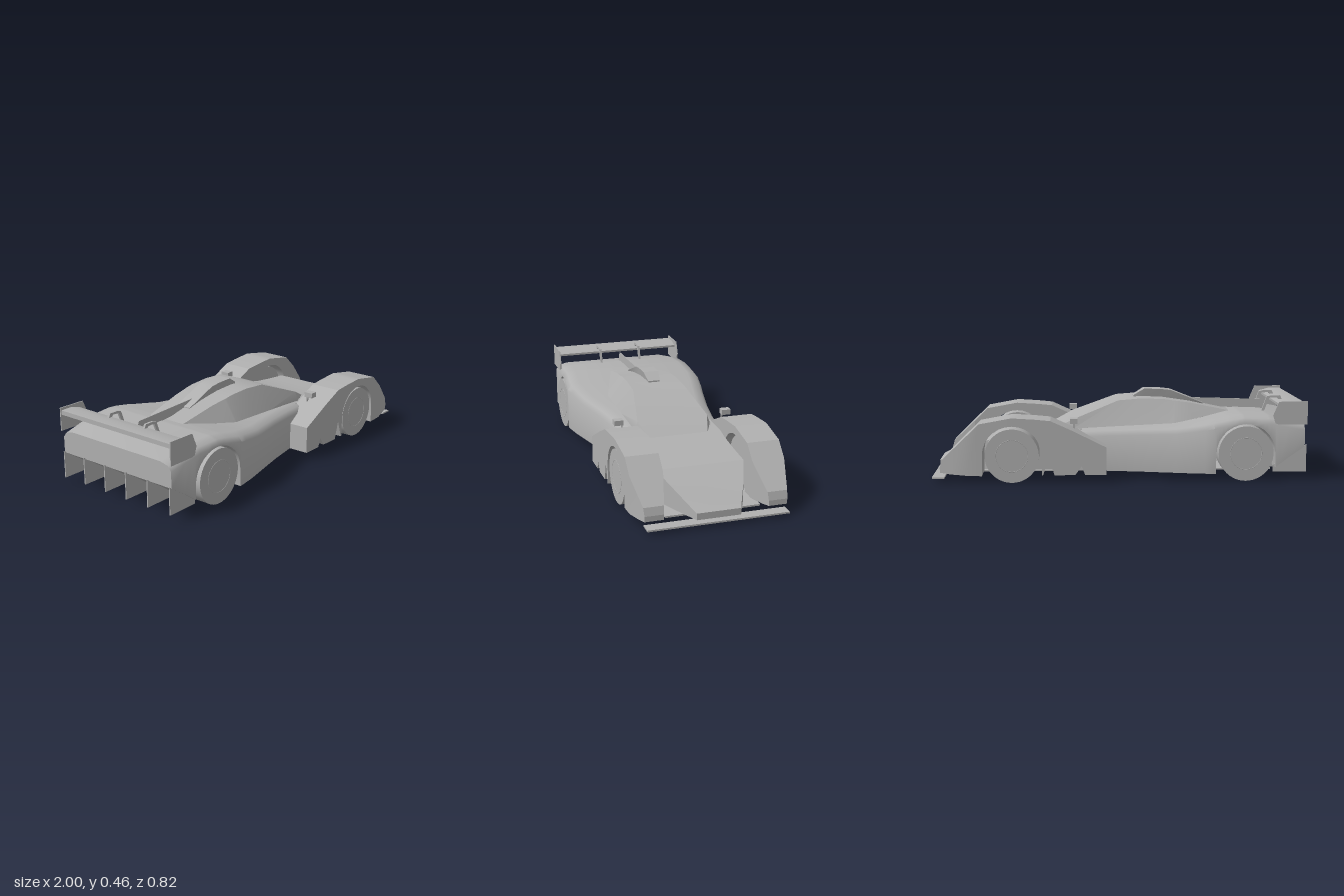
import * as THREE from 'three';
import { toCreasedNormals } from 'three/addons/utils/BufferGeometryUtils.js';

// Linear interpolation in a table of [x, value] pairs
function at(table, x) {
  if (x <= table[0][0]) return table[0][1];
  for (let i = 1; i < table.length; i++) {
    const [x0, v0] = table[i - 1], [x1, v1] = table[i];
    if (x <= x1) return v0 + (v1 - v0) * (x - x0) / (x1 - x0);
  }
  return table[table.length - 1][1];
}

// All stations needed by several tables, in order
function stations(...tables) {
  const xs = tables.flat().map(p => p[0]).sort((a, b) => a - b);
  return xs.filter((x, i) => i === 0 || x - xs[i - 1] > 1e-5);
}

// Skin along x; section(x) returns a loop of [y, z], from bottom +z over the top to bottom -z
function loft(xs, section, crease = 0.5) {
  const pos = [], index = [], n = section(xs[0]).length;
  xs.forEach(x => section(x).forEach(([y, z]) => pos.push(x, y, z)));
  for (let s = 0; s < xs.length - 1; s++) {
    for (let i = 0; i < n; i++) {
      const a = s * n + i, b = s * n + (i + 1) % n;
      index.push(a, a + n, b + n, a, b + n, b);
    }
  }
  const e = (xs.length - 1) * n;
  for (let i = 1; i < n - 1; i++) index.push(0, i, i + 1, e, e + i + 1, e + i);
  const g = new THREE.BufferGeometry();
  g.setAttribute('position', new THREE.Float32BufferAttribute(pos, 3));
  g.setIndex(index);
  return toCreasedNormals(g, crease);
}

// Complete a symmetric section from its +z half
const mirrored = half => [...half, ...half.slice().reverse().map(([y, z]) => [y, -z])];

// Wheel opening as [x, y] pairs, with nearly vertical ends down to y = low
function arch(cx, r, lowBack, lowFront) {
  const pts = [[cx - r - 0.001, lowBack]];
  for (let i = 0; i <= 14; i++) {
    const a = Math.PI * (1 - i / 14);
    pts.push([cx + r * Math.cos(a), 0.145 + r * Math.sin(a)]);
  }
  pts.push([cx + r + 0.001, lowFront]);
  return pts;
}

export function createModel() {
  const car = new THREE.Group();
  car.name = 'raceCar';
  const grey = new THREE.MeshStandardMaterial({ color: 0xb0b0b0 });
  grey.name = 'bodyGrey';

  function add(name, geometry, x = 0, y = 0, z = 0) {
    const m = new THREE.Mesh(geometry, grey);
    m.name = name;
    m.position.set(x, y, z);
    car.add(m);
    return m;
  }
  const box = (name, x0, x1, y0, y1, z0, z1) => add(name,
    new THREE.BoxGeometry(x1 - x0, y1 - y0, z1 - z0), (x0 + x1) / 2, (y0 + y1) / 2, (z0 + z1) / 2);

  // Flat plate in the xy plane, centred on z
  function plate(name, points, z, t = 0.006) {
    const shape = new THREE.Shape(points.map(p => new THREE.Vector2(...p)));
    return add(name, new THREE.ExtrudeGeometry(shape, { depth: t, bevelEnabled: false }), 0, 0, z - t / 2);
  }

  // Main body with through-going rear wheel openings and rounded shoulders
  const bodyTop = [[-0.99, 0.305], [-0.8, 0.342], [-0.66, 0.347], [-0.6, 0.34], [-0.45, 0.31],
    [-0.3, 0.286], [0, 0.272], [0.25, 0.26], [0.34, 0.25]];
  const bodyHalf = [[-0.99, 0.375], [-0.85, 0.388], [-0.65, 0.4], [-0.5, 0.41], [-0.39, 0.392],
    [-0.1, 0.325], [0.07, 0.295], [0.25, 0.275], [0.34, 0.262]];
  const bodyLow = [[-0.99, 0.18], [-0.9, 0.12], ...arch(-0.67, 0.16, 0.07, 0.04), [0.34, 0.04]];
  add('body', loft(stations(bodyTop, bodyHalf, bodyLow), x => {
    const y = at(bodyTop, x), w = at(bodyHalf, x);
    return mirrored([[at(bodyLow, x), w], [y - 0.038, w], [y - 0.012, w - 0.02], [y, w - 0.07]]);
  }, 0.7));

  // Nose between the front fenders
  const noseTop = [[0.2, 0.258], [0.36, 0.252], [0.45, 0.232], [0.58, 0.217], [0.7, 0.207], [0.84, 0.148],
    [0.95, 0.09], [0.985, 0.075]];
  const noseHalf = [[0.2, 0.236], [0.7, 0.236], [0.84, 0.182], [0.95, 0.13], [0.985, 0.115]];
  add('nose', loft(stations(noseTop, noseHalf), x => {
    const w = at(noseHalf, x);
    return mirrored([[0.04, w], [at(noseTop, x), w]]);
  }, 0.3));

  // Closed cockpit canopy
  const roofY = [[-0.62, 0.341], [-0.4, 0.388], [-0.25, 0.41], [-0.13, 0.415], [0, 0.405], [0.25, 0.308], [0.365, 0.25]];
  const roofZ = [[-0.62, 0.112], [-0.3, 0.142], [-0.13, 0.146], [0, 0.15], [0.25, 0.198], [0.365, 0.16]];
  const sillZ = [[-0.62, 0.115], [-0.31, 0.215], [0.25, 0.215], [0.365, 0.162]];
  add('canopy', loft(stations(roofY, roofZ, sillZ), x => {
    const sill = at(bodyTop, x);
    return mirrored([[sill - 0.02, at(sillZ, x)], [Math.min(sill, at(roofY, x) - 0.001), at(sillZ, x)],
      [at(roofY, x), at(roofZ, x)]]);
  }, 0.35));

  // Roof air intake, wider at the top, and the spine fin behind it
  const scoopY = [[-0.48, 0.376], [-0.42, 0.4], [-0.3, 0.448], [-0.24, 0.455], [-0.15, 0.457], [-0.09, 0.42]];
  add('airIntake', loft(stations(scoopY), x =>
    mirrored([[at(roofY, x) - 0.02, 0.03], [at(scoopY, x), x < -0.1 ? 0.044 : 0.034]]), 0.3));
  plate('spineFin', [[-0.845, 0.33], [-0.44, 0.36], [-0.4, 0.403], [-0.82, 0.39]], 0);

  // Undertray and front splitter
  box('floor', -0.83, 0.9, 0.033, 0.042, -0.25, 0.25);
  box('splitter', 0.935, 1, 0.018, 0.027, -0.37, 0.37);

  // Rear wing
  add('rearWing', loft([-0.995, -0.93, -0.87], x =>
    mirrored([[x < -0.99 ? 0.388 : 0.383, 0.38], [x > -0.88 ? 0.395 : 0.411, 0.38]]), 0.3));

  // Diffuser strakes under the tail
  for (const z of [-0.37, -0.222, -0.074, 0.074, 0.222, 0.37])
    plate('diffuserStrake', [[-1, 0.042], [-0.82, 0.042], [-0.82, 0.08], [-1, 0.19]], z);

  // Front fender tables: top, underside with notches and arch, outer and inner sides
  const fenderTop = [[0.075, 0.187], [0.25, 0.275], [0.37, 0.33], [0.45, 0.338], [0.574, 0.346], [0.745, 0.315],
    [0.82, 0.243], [0.945, 0.122], [0.957, 0.08]];
  const fenderLow = [[0.075, 0.04], [0.188, 0.04], [0.205, 0.088], [0.24, 0.04], [0.35, 0.04],
    [0.378, 0.14], [0.41, 0.04], ...arch(0.574, 0.157, 0.041, 0.038), [0.9, 0.045], [0.957, 0.052]];
  const fenderOut = [[0.075, 0.408], [0.574, 0.412], [0.82, 0.408], [0.957, 0.372]];
  const fenderIn = [[0.075, 0.235], [0.82, 0.235], [0.957, 0.273]];
  const fenderXs = stations(fenderTop, fenderLow, fenderOut);

  for (const s of [1, -1]) {
    const side = s > 0 ? 'left' : 'right';
    add(side + 'FrontFender', loft(fenderXs, x => {
      const o = at(fenderOut, x), i = at(fenderIn, x), t = at(fenderTop, x), b = at(fenderLow, x);
      const [z0, z1] = s > 0 ? [o, i] : [-i, -o];
      return [[b, z0], [t, z0], [t, z1], [b, z1]];
    }, 0.25));

    // Wheels with a shallow rim ring
    for (const [label, x, r] of [['Front', 0.574, 0.143], ['Rear', -0.67, 0.147]]) {
      add(side + label + 'Wheel', new THREE.CylinderGeometry(r, r, 0.137, 40), x, r, s * 0.336).rotation.x = Math.PI / 2;
      add(side + label + 'Rim', new THREE.TorusGeometry(0.085, 0.002, 6, 40), x, r, s * 0.404);
    }

    // Mirror on a short stalk
    box(side + 'Mirror', 0.225, 0.267, 0.302, 0.33, s * 0.305 - 0.025, s * 0.305 + 0.025);
    box(side + 'MirrorStalk', 0.24, 0.25, 0.25, 0.305, s * 0.285 - 0.004, s * 0.285 + 0.004);

    // Wing endplate and swan-neck mount
    plate(side + 'Endplate', [[-1, 0.3], [-0.83, 0.3], [-0.815, 0.35], [-0.845, 0.422], [-1, 0.425]], s * 0.381);
    plate(side + 'WingMount', [[-0.91, 0.405], [-0.89, 0.405], [-0.88, 0.415], [-0.84, 0.412], [-0.81, 0.335],
      [-0.795, 0.335], [-0.825, 0.42], [-0.85, 0.426], [-0.9, 0.426]], s * 0.124, 0.012);
  }
  return car;
}
